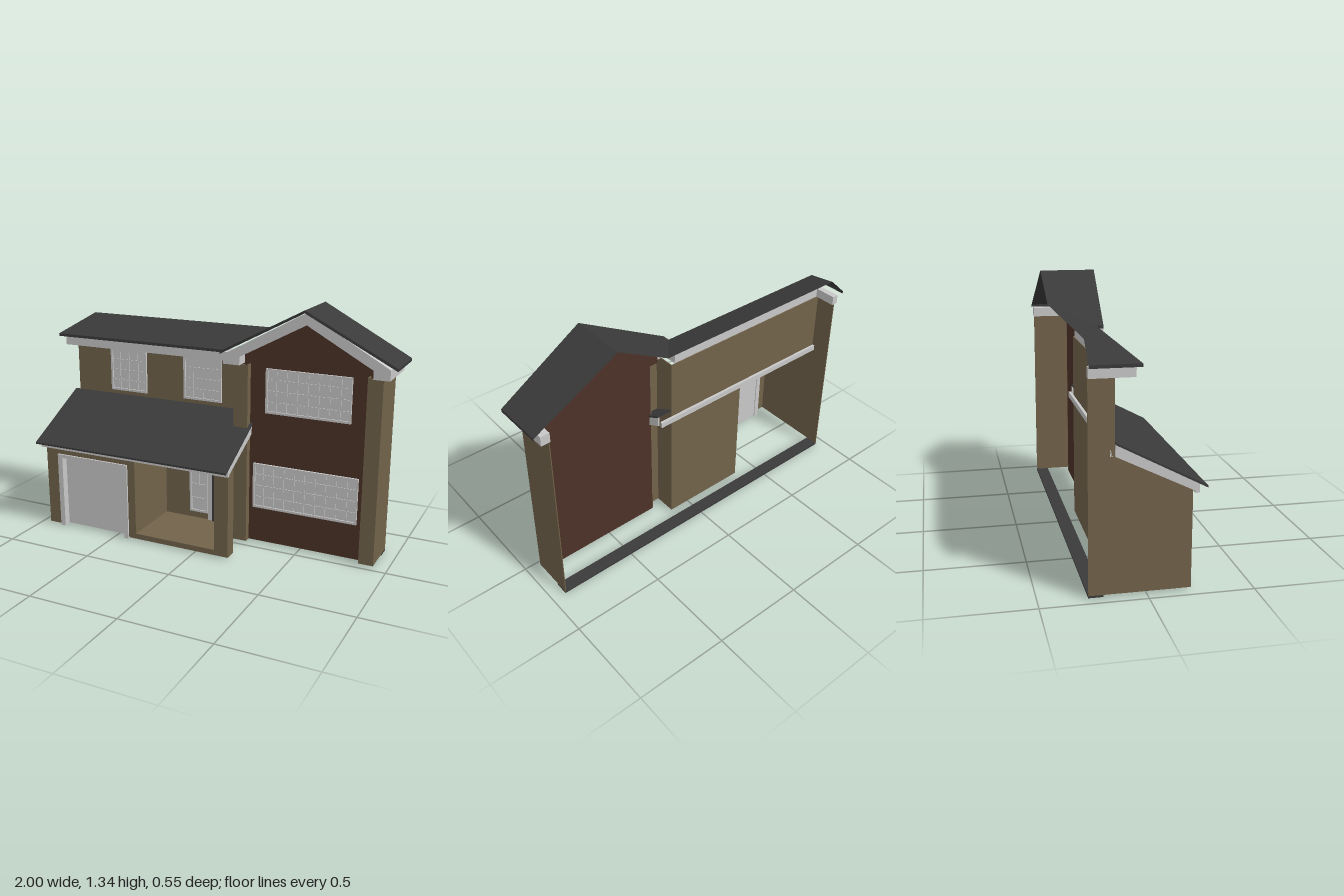
import * as THREE from 'three';

const mat = (name, color, side = THREE.FrontSide) => {
  const m = new THREE.MeshStandardMaterial({ color, side });
  m.name = name;
  return m;
};

export function createModel() {
  const house = new THREE.Group();
  house.name = 'house';
  const tan = mat('tan wall', 0x72634a);
  const brick = mat('brown brick', 0x4c3227);
  const white = mat('white trim', 0xc8c8c8);
  const dark = mat('dark roof', 0x3a3a3a, THREE.DoubleSide);

  const add = (name, geo, material, parent = house) => {
    const mesh = new THREE.Mesh(geo, material);
    mesh.name = name;
    parent.add(mesh);
    return mesh;
  };
  // box given by its limits
  const slab = (name, m, x0, x1, y0, y1, z0, z1, parent) => {
    const g = new THREE.BoxGeometry(x1 - x0, y1 - y0, z1 - z0);
    g.translate((x0 + x1) / 2, (y0 + y1) / 2, (z0 + z1) / 2);
    return add(name, g, m, parent);
  };
  const outline = pts => new THREE.Shape(pts.map(p => new THREE.Vector2(...p)));
  // xy outline extruded from z0 to z1
  const frontPlate = (name, m, pts, z0, z1, holes = []) => {
    const s = outline(pts);
    holes.forEach(h => s.holes.push(outline(h)));
    const g = new THREE.ExtrudeGeometry(s, { depth: z1 - z0, bevelEnabled: false });
    return add(name, g.translate(0, 0, z0), m);
  };
  // zy outline extruded from x0 to x1
  const sidePlate = (name, m, pts, x0, x1) => {
    const g = new THREE.ExtrudeGeometry(outline(pts.map(([z, y]) => [-z, y])), { depth: x1 - x0, bevelEnabled: false });
    return add(name, g.rotateY(Math.PI / 2).translate(x0, 0, 0), m);
  };
  // flat polygons, each fanned into triangles
  const sheet = (name, m, polys) => {
    const v = [];
    polys.forEach(p => {
      for (let i = 1; i < p.length - 1; i++) v.push(...p[0], ...p[i], ...p[i + 1]);
    });
    const g = new THREE.BufferGeometry();
    g.setAttribute('position', new THREE.Float32BufferAttribute(v, 3));
    g.computeVertexNormals();
    return add(name, g, m);
  };

  const T = 0.005;
  const wallZ = -0.15, brickZ = -0.07, pierZ = -0.03, backZ = -0.27, garageZ = 0.21;

  // walls of the garage wing
  sidePlate('leftWall', tan, [[backZ, 0.01], [garageZ, 0.01], [garageZ, 0.52], [wallZ, 0.715], [wallZ, 1.015], [backZ, 1.015]], -0.945, -0.945 + T);
  sidePlate('garageSideWall', tan, [[wallZ, 0.01], [garageZ, 0.01], [garageZ, 0.52], [wallZ, 0.715]], -0.365 - T, -0.365);
  frontPlate('garageFrontWall', tan,
    [[-0.945, 0.01], [-0.85, 0.01], [-0.85, 0.43], [-0.42, 0.43], [-0.42, 0.01], [-0.365, 0.01], [-0.365, 0.52], [-0.945, 0.52]],
    garageZ - T, garageZ);
  frontPlate('upperAndPorchWall', tan,
    [[-0.945, 0.68], [-0.365, 0.68], [-0.365, 0.01], [0.125, 0.01], [0.125, 1.015], [-0.945, 1.015]],
    wallZ - T, wallZ);

  // corner piers, hollow at the back
  slab('leftPierFront', tan, 0.12, 0.2, 0.01, 1.015, pierZ - T, pierZ);
  slab('leftPierOuter', tan, 0.12, 0.12 + T, 0.01, 1.015, wallZ, pierZ - T);
  slab('leftPierInner', tan, 0.2 - T, 0.2, 0.01, 1.015, brickZ - T, pierZ - T);
  slab('rightPierFront', tan, 0.845, 0.925, 0.01, 1.015, pierZ - T, pierZ);
  slab('rightPierInner', tan, 0.845, 0.845 + T, 0.01, 1.015, brickZ - T, pierZ - T);
  slab('rightWall', tan, 0.925 - T, 0.925, 0.01, 1.015, backZ, pierZ - T);

  // brick gable front
  frontPlate('brickGable', brick,
    [[0.2, 0.01], [0.845, 0.01], [0.845, 1], [0.9, 1], [0.9, 1.065], [0.53, 1.28], [0.15, 1.065], [0.15, 1], [0.2, 1]],
    brickZ - T, brickZ);

  // ground strip along the open back
  slab('groundStrip', dark, -0.945, 0.925, 0, 0.01, backZ, -0.2);

  // porch
  slab('porchFloor', tan, -0.365, 0.12, 0.01, 0.04, wallZ, garageZ);
  slab('porchFloorEdge', brick, 0.12, 0.126, 0.01, 0.037, pierZ, 0.14);
  slab('porchPost', tan, 0.12, 0.2, 0.01, 0.52, 0.14, garageZ);

  // garage door and its frame
  slab('garageDoor', white, -0.85, -0.42, 0.01, 0.43, 0.175, 0.18);
  frontPlate('garageDoorFrame', white,
    [[-0.865, 0.005], [-0.835, 0.005], [-0.835, 0.42], [-0.435, 0.42], [-0.435, 0.005], [-0.41, 0.005], [-0.41, 0.44], [-0.865, 0.44]],
    0.17, 0.22);

  // front door with side light
  slab('doorFrame', white, -0.09, 0.105, 0.04, 0.42, wallZ, wallZ + 0.008);
  slab('frontDoor', dark, -0.06, 0.08, 0.04, 0.4, wallZ + 0.008, wallZ + 0.014);
  slab('doorHandle', white, 0.062, 0.07, 0.2, 0.23, wallZ + 0.014, wallZ + 0.022);

  // windows: thin pane with raised frame and bars
  const makeWindow = (name, x0, x1, y0, y1, z, cols, rows) => {
    const win = new THREE.Group();
    win.name = name;
    house.add(win);
    const f = 0.012, b = 0.003;
    slab('pane', white, x0, x1, y0, y1, z, z + 0.004, win);
    slab('frameLeft', white, x0, x0 + f, y0, y1, z, z + 0.012, win);
    slab('frameRight', white, x1 - f, x1, y0, y1, z, z + 0.012, win);
    slab('frameBottom', white, x0 + f, x1 - f, y0, y0 + f, z, z + 0.012, win);
    slab('frameTop', white, x0 + f, x1 - f, y1 - f, y1, z, z + 0.012, win);
    for (let i = 1; i < cols; i++) {
      const x = x0 + (x1 - x0) * i / cols;
      slab('uprightBar', white, x - b, x + b, y0 + f, y1 - f, z + 0.003, z + 0.009, win);
    }
    for (let j = 1; j < rows; j++) {
      const y = y0 + (y1 - y0) * j / rows;
      slab('crossBar', white, x0 + f, x1 - f, y - b, y + b, z + 0.003, z + 0.008, win);
    }
  };
  makeWindow('upperLeftWindow', -0.715, -0.48, 0.755, 0.998, wallZ, 4, 4);
  makeWindow('upperMiddleWindow', -0.24, -0.005, 0.755, 0.998, wallZ, 4, 4);
  makeWindow('upperGableWindow', 0.29, 0.76, 0.755, 0.998, brickZ, 8, 4);
  makeWindow('lowerGableWindow', 0.225, 0.815, 0.21, 0.465, brickZ, 10, 4);
  makeWindow('sideLight', -0.205, -0.09, 0.08, 0.42, wallZ, 2, 4);

  // porch roof with gutter and barge boards
  const slopeY = z => 0.51 + (0.27 - z) * 0.525;
  sidePlate('porchRoof', dark,
    [[0.27, slopeY(0.27) - 0.01], [0.27, slopeY(0.27)], [wallZ, slopeY(wallZ)], [wallZ, slopeY(wallZ) - 0.01]], -0.975, 0.215);
  slab('porchGutter', white, -0.965, 0.21, 0.475, 0.508, 0.215, 0.235);
  for (const x of [-0.965, 0.2]) {
    sidePlate('porchBargeBoard', white,
      [[0.235, 0.475], [0.235, slopeY(0.235) - 0.01], [wallZ, slopeY(wallZ) - 0.01], [wallZ, 0.665]], x, x + 0.01);
  }
  slab('porchRoofLedger', white, -0.945, 0.2, 0.66, 0.69, wallZ - 0.02, wallZ - T);

  // eave boxes and gable trim
  slab('leftEave', white, -0.965, 0.1, 1.015, 1.065, wallZ, -0.06);
  slab('leftEaveReturn', white, -0.965, -0.93, 1.015, 1.065, backZ, wallZ);
  slab('rightEaveReturn', white, 0.915, 0.965, 1.015, 1.068, backZ, brickZ);
  frontPlate('gableTrim', white,
    [[0.07, 1.015], [0.165, 1.015], [0.165, 1.06], [0.53, 1.255], [0.88, 1.06], [0.88, 1.015],
      [0.965, 1.015], [0.965, 1.07], [0.53, 1.318], [0.07, 1.065]],
    brickZ, 0.003);

  // main roof: hipped left wing meeting the cross gable in a valley
  const E = 1.08, R = 1.175, A = 1.335, B = -0.275;
  const hipTop = [-0.9, R, B], valleyTop = [0.243, R, B], valleyLow = [0.05, E, -0.04];
  const ridgeFront = [0.53, A, 0.038], ridgeBack = [0.53, A, B];
  const edge = [[-1, E, B], [-1, E, -0.04], valleyLow, [0.05, E, 0], ridgeFront, [1, E, 0], [1, E, B]];
  sheet('leftRoofSlope', dark, [[edge[1], valleyLow, valleyTop, hipTop]]);
  sheet('leftRoofHip', dark, [[edge[0], edge[1], hipTop]]);
  sheet('gableRoofLeft', dark, [[edge[3], ridgeFront, ridgeBack, valleyTop, valleyLow]]);
  sheet('gableRoofRight', dark, [[ridgeFront, edge[5], edge[6], ridgeBack]]);
  const low = ([x, y, z]) => [x, y - 0.015, z];
  sheet('roofEdge', dark, edge.slice(1).map((p, i) => [low(edge[i]), low(p), p, edge[i]]));

  return house;
}
